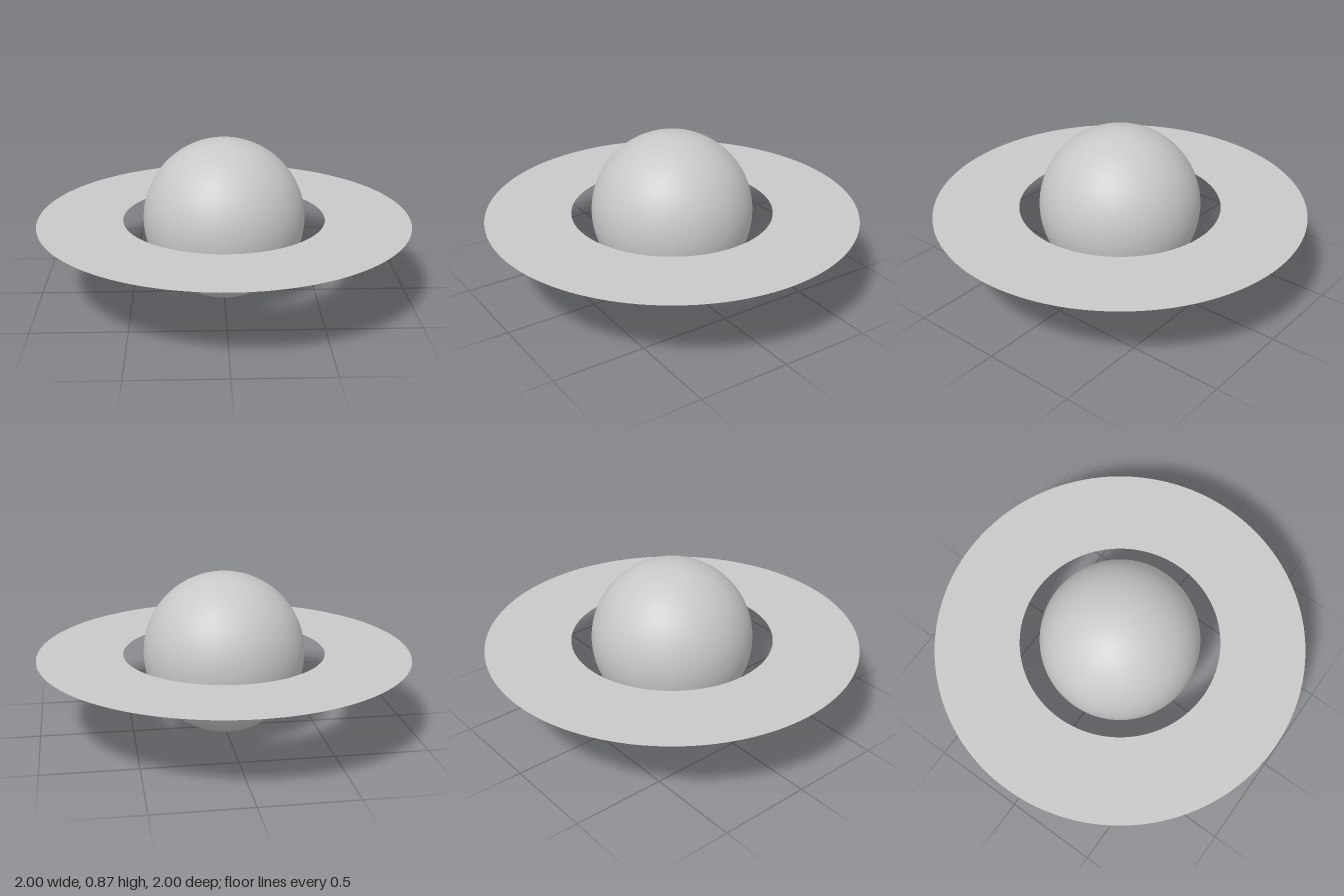
import * as THREE from 'three';

const PLANET_RADIUS = 0.433;
const RING_INNER = 0.542;
const RING_OUTER = 1;

export function createModel() {
  const model = new THREE.Group();
  model.name = 'ringedPlanet';

  const grey = new THREE.MeshStandardMaterial({ color: 0xc8c8c8, side: THREE.DoubleSide });
  grey.name = 'lightGrey';

  // Smooth globe resting on the ground
  const planet = new THREE.Mesh(new THREE.SphereGeometry(PLANET_RADIUS, 96, 64), grey);
  planet.name = 'planet';
  planet.position.y = PLANET_RADIUS;

  // Paper-thin flat ring around the equator, facing up
  const ringGeometry = new THREE.RingGeometry(RING_INNER, RING_OUTER, 128);
  ringGeometry.rotateX(-Math.PI / 2);
  const ring = new THREE.Mesh(ringGeometry, grey);
  ring.name = 'ring';
  ring.position.y = PLANET_RADIUS;

  model.add(planet, ring);
  return model;
}
